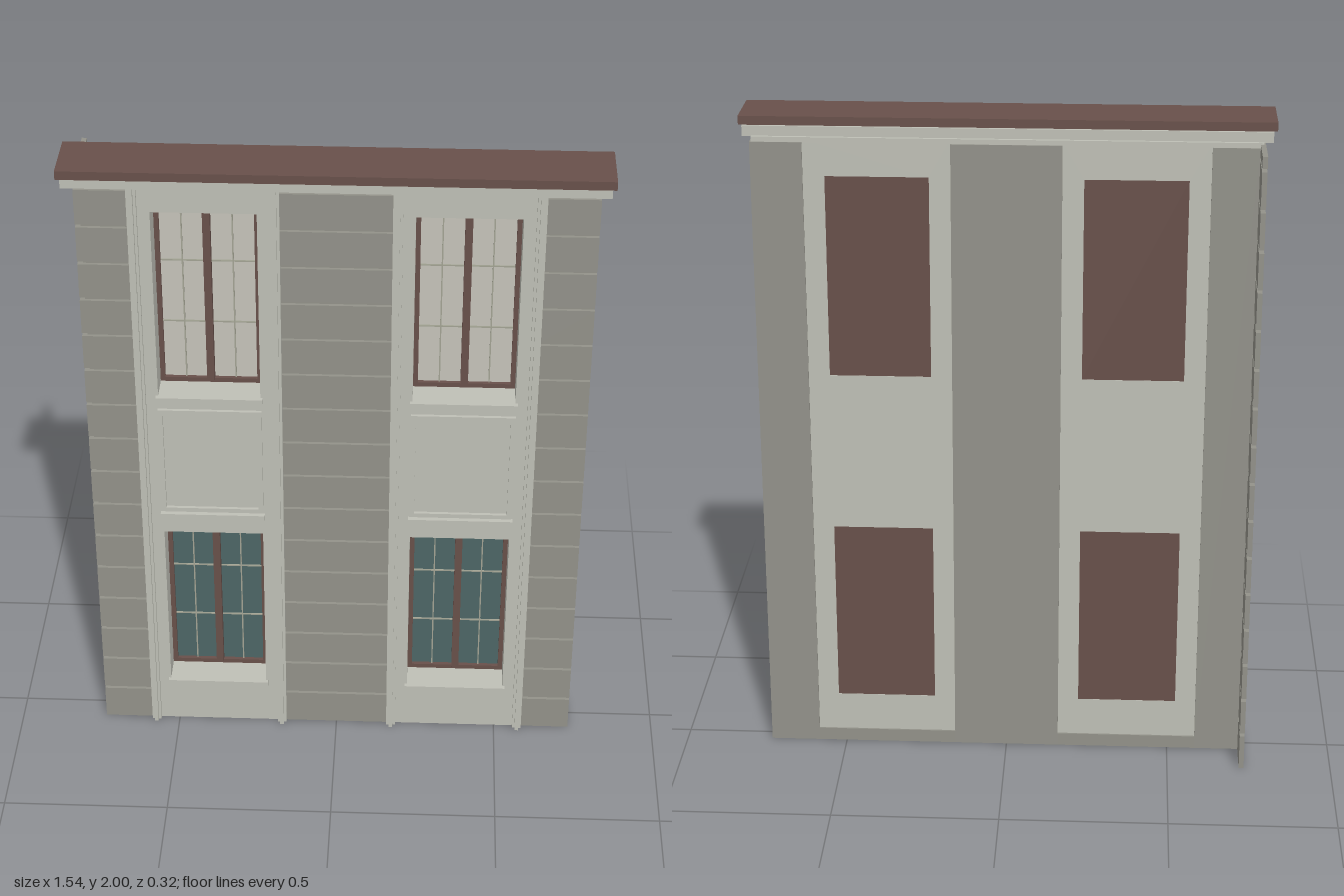
import * as THREE from 'three';

const mat = (name, color) => new THREE.MeshStandardMaterial({ name, color });

export function createModel() {
  const stone = mat('pale stone', 0xbfc0b6);
  const siding = mat('grey siding', 0x93928a);
  const brown = mat('brown trim', 0x68504a);
  const glass = mat('teal glass', 0x4d6666);
  const curtain = mat('pale glass', 0xc6c3ba);
  const bars = mat('glazing bars', 0xa3a494);

  const model = new THREE.Group();
  model.name = 'facade';

  // Box given by its limits on each axis
  const box = (parent, name, material, x0, x1, y0, y1, z0, z1) => {
    const mesh = new THREE.Mesh(new THREE.BoxGeometry(x1 - x0, y1 - y0, z1 - z0), material);
    mesh.position.set((x0 + x1) / 2, (y0 + y1) / 2, (z0 + z1) / 2);
    mesh.name = name;
    parent.add(mesh);
    return mesh;
  };

  // Rectangular ring lying in the xy plane
  const ring = (parent, name, material, x0, x1, y0, y1, z0, z1, w) => {
    box(parent, name, material, x0, x0 + w, y0, y1, z0, z1);
    box(parent, name, material, x1 - w, x1, y0, y1, z0, z1);
    box(parent, name, material, x0 + w, x1 - w, y0, y0 + w, z0, z1);
    box(parent, name, material, x0 + w, x1 - w, y1 - w, y1, z0, z1);
  };

  const rect = (Type, x0, x1, y0, y1) => {
    const s = new Type();
    s.moveTo(x0, y0);
    s.lineTo(x1, y0);
    s.lineTo(x1, y1);
    s.lineTo(x0, y1);
    s.closePath();
    return s;
  };

  // Siding boards with narrow grooves, on a flat backing
  const top = 1.94, pitch = 0.119, gap = 0.01;
  const rows = [];
  for (let y = 0; y < top - 0.01; y += pitch) {
    rows.push([y === 0 ? 0 : y - pitch * 0.03 + gap / 2, Math.min(y + pitch * 0.97 - gap / 2, top)]);
  }
  for (const [x0, x1] of [[-0.735, -0.585], [-0.16, 0.16], [0.585, 0.735]]) {
    const section = new THREE.Group();
    section.name = 'sidingSection';
    box(section, 'sidingBacking', siding, Math.max(x0, -0.72), x1, 0, 1.93, -0.04, 0.06);
    for (const [y0, y1] of rows) box(section, 'sidingBoard', siding, x0, x1, y0, y1, 0.06, 0.07);
    model.add(section);
  }

  // Return wall of open boards on one side
  const returnWall = new THREE.Group();
  returnWall.name = 'returnWall';
  for (const [y0, y1] of rows) box(returnWall, 'returnBoard', siding, -0.735, -0.72, y0, y1, -0.16, 0.06);
  model.add(returnWall);

  // Recessed window with frame, centre post and glazing bars
  const makeWindow = (parent, y0, y1, pane) => {
    const w = new THREE.Group();
    w.name = 'window';
    const h = 0.15;
    box(w, 'windowBack', brown, -h, h, y0, y1, -0.034, -0.028);
    box(w, 'pane', pane, -h + 0.01, h - 0.01, y0 + 0.01, y1 - 0.01, -0.028, -0.024);
    ring(w, 'windowFrame', brown, -h, h, y0, y1, -0.028, -0.012, 0.014);
    box(w, 'centrePost', brown, -0.011, 0.011, y0 + 0.014, y1 - 0.014, -0.024, 0);
    for (const x of [-0.073, 0.073]) {
      box(w, 'verticalBar', bars, x - 0.002, x + 0.002, y0 + 0.014, y1 - 0.014, -0.024, -0.019);
    }
    for (const t of [1 / 3, 2 / 3]) {
      const y = y0 + (y1 - y0) * t;
      for (const s of [-1, 1]) {
        const a = s * 0.011, b = s * 0.136;
        box(w, 'crossBar', bars, Math.min(a, b), Math.max(a, b), y - 0.002, y + 0.002, -0.024, -0.02);
      }
    }
    // Sill lip under the opening
    box(w, 'sill', stone, -0.157, 0.157, y0 - 0.018, y0, 0.07, 0.084);
    parent.add(w);
  };

  // Stone window bays, one each side of the middle
  const windows = [[0.16, 0.73, glass], [1.22, 1.83, curtain]];
  for (const side of [-1, 1]) {
    const bay = new THREE.Group();
    bay.name = side > 0 ? 'leftBay' : 'rightBay';
    bay.position.x = side * 0.3725;

    const wall = rect(THREE.Shape, -0.2125, 0.2125, 0, top);
    for (const [y0, y1] of windows) wall.holes.push(rect(THREE.Path, -0.15, 0.15, y0, y1));
    const geo = new THREE.ExtrudeGeometry(wall, { depth: 0.105, bevelEnabled: false });
    geo.translate(0, 0, -0.035);
    const bayWall = new THREE.Mesh(geo, stone);
    bayWall.name = 'bayWall';
    bay.add(bayWall);

    for (const [y0, y1, pane] of windows) makeWindow(bay, y0, y1, pane);

    // Stepped pilaster strips at both edges
    for (const s of [-1, 1]) {
      const outer = box(bay, 'pilasterStrip', stone, -0.014, 0.014, 0, top, 0.07, 0.082);
      outer.position.x = s * 0.2;
      const inner = box(bay, 'pilasterBead', stone, -0.006, 0.006, 0, top, 0.082, 0.094);
      inner.position.x = s * 0.2;
    }

    // Framed panel between the windows, with a ledge below
    ring(bay, 'panelFrame', stone, -0.153, 0.153, 0.812, 1.175, 0.07, 0.08, 0.014);
    box(bay, 'panelLedge', stone, -0.157, 0.157, 0.79, 0.806, 0.07, 0.086);

    // Base strip across the back
    box(bay, 'backBase', siding, -0.2125, 0.2125, 0, 0.04, -0.04, -0.035);
    model.add(bay);
  }

  // Header and cornice
  box(model, 'header', stone, -0.73, 0.73, 1.93, 1.945, -0.038, 0.06);
  box(model, 'cornice', stone, -0.757, 0.757, 1.943, 1.974, -0.028, 0.15);
  box(model, 'corniceCap', brown, -0.768, 0.768, 1.974, 2, -0.019, 0.16);

  return model;
}
